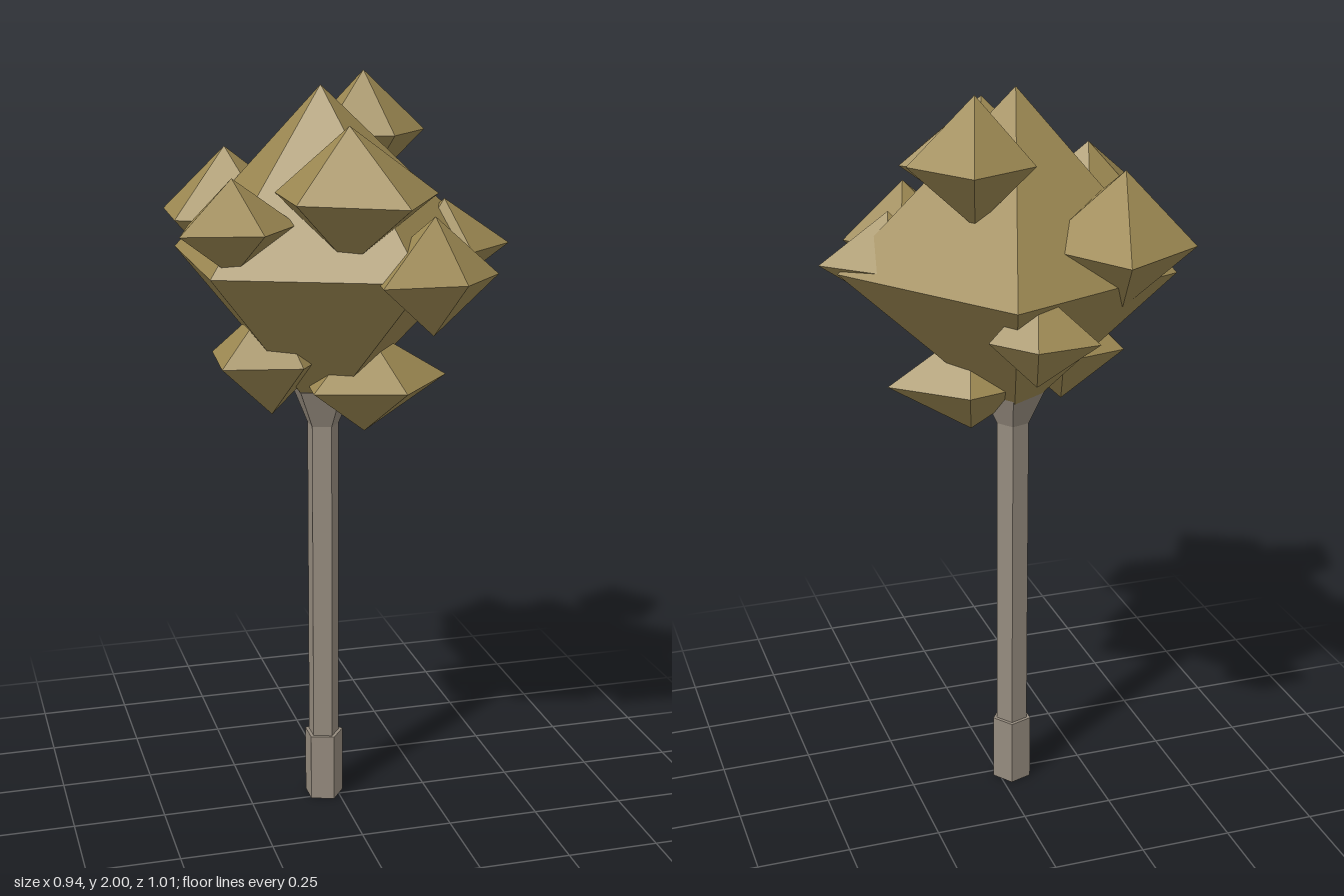
import * as THREE from 'three';

const leafMat = new THREE.MeshStandardMaterial({ color: 0x9c8852, flatShading: true });
const barkMat = new THREE.MeshStandardMaterial({ color: 0x958b7e, flatShading: true });

// Five-sided double pyramid with its own radius at each corner, starting at +x and turning to +z
function leafClump(name, [x, y, z], height, radii) {
  const n = radii.length;
  const ring = radii.map((r, i) => {
    const a = (i / n) * Math.PI * 2;
    return [r * Math.cos(a), 0, r * Math.sin(a)];
  });
  const pos = [];
  for (let i = 0; i < n; i++) {
    const a = ring[i], b = ring[(i + 1) % n];
    pos.push(0, height, 0, ...b, ...a);
    pos.push(0, -height, 0, ...a, ...b);
  }
  const geo = new THREE.BufferGeometry();
  geo.setAttribute('position', new THREE.Float32BufferAttribute(pos, 3));
  geo.computeVertexNormals();
  const mesh = new THREE.Mesh(geo, leafMat);
  mesh.position.set(x, y, z);
  mesh.name = name;
  return mesh;
}

// Five-sided trunk section between two heights, with a corner facing +x
function trunkSection(name, rTop, rBottom, y0, y1) {
  const geo = new THREE.CylinderGeometry(rTop, rBottom, y1 - y0, 5);
  geo.rotateY(Math.PI / 2);
  const mesh = new THREE.Mesh(geo, barkMat);
  mesh.position.set(-0.038, (y0 + y1) / 2, -0.023);
  mesh.name = name;
  return mesh;
}

export function createModel() {
  const tree = new THREE.Group();
  tree.name = 'tree';

  // Trunk: thick foot, slim stem, small flare under the crown
  tree.add(
    trunkSection('trunkFoot', 0.055, 0.055, 0, 0.19),
    trunkSection('trunkStem', 0.044, 0.044, 0.19, 1.25),
    trunkSection('trunkFlare', 0.09, 0.04, 1.08, 1.19),
  );

  // Crown: one large clump with smaller ones set into it
  const crown = new THREE.Group();
  crown.name = 'crown';
  const clumps = [
    ['mainClump', [-0.04, 1.54, -0.03], 0.44, [0.467, 0.46, 0.423, 0.423, 0.472]],
    ['frontTopClump', [-0.04, 1.735, 0.25], 0.17, [0.228, 0.263, 0.2, 0.197, 0.206]],
    ['topClump', [0.123, 1.84, -0.206], 0.16, [0.171, 0.149, 0.168, 0.155, 0.18]],
    ['backRightClump', [-0.246, 1.63, -0.259], 0.175, [0.225, 0.239, 0.195, 0.184, 0.259]],
    ['frontRightClump', [-0.318, 1.66, 0.182], 0.12, [0.165, 0.157, 0.186, 0.119, 0.125]],
    ['frontLeftClump', [0.166, 1.535, 0.295], 0.15, [0.168, 0.139, 0.207, 0.17, 0.175]],
    ['leftClump', [0.286, 1.558, 0], 0.125, [0.182, 0.127, 0.14, 0.14, 0.139]],
    ['backClump', [0.026, 1.445, -0.39], 0.125, [0.123, 0.12, 0.13, 0.158, 0.115]],
    ['lowerLeftClump', [0.068, 1.212, 0.01], 0.142, [0.227, 0.2, 0.21, 0.18, 0.165]],
    ['lowerRightClump', [-0.182, 1.286, 0], 0.155, [0.16, 0.16, 0.19, 0.17, 0.15]],
  ];
  for (const c of clumps) crown.add(leafClump(...c));
  tree.add(crown);

  return tree;
}
